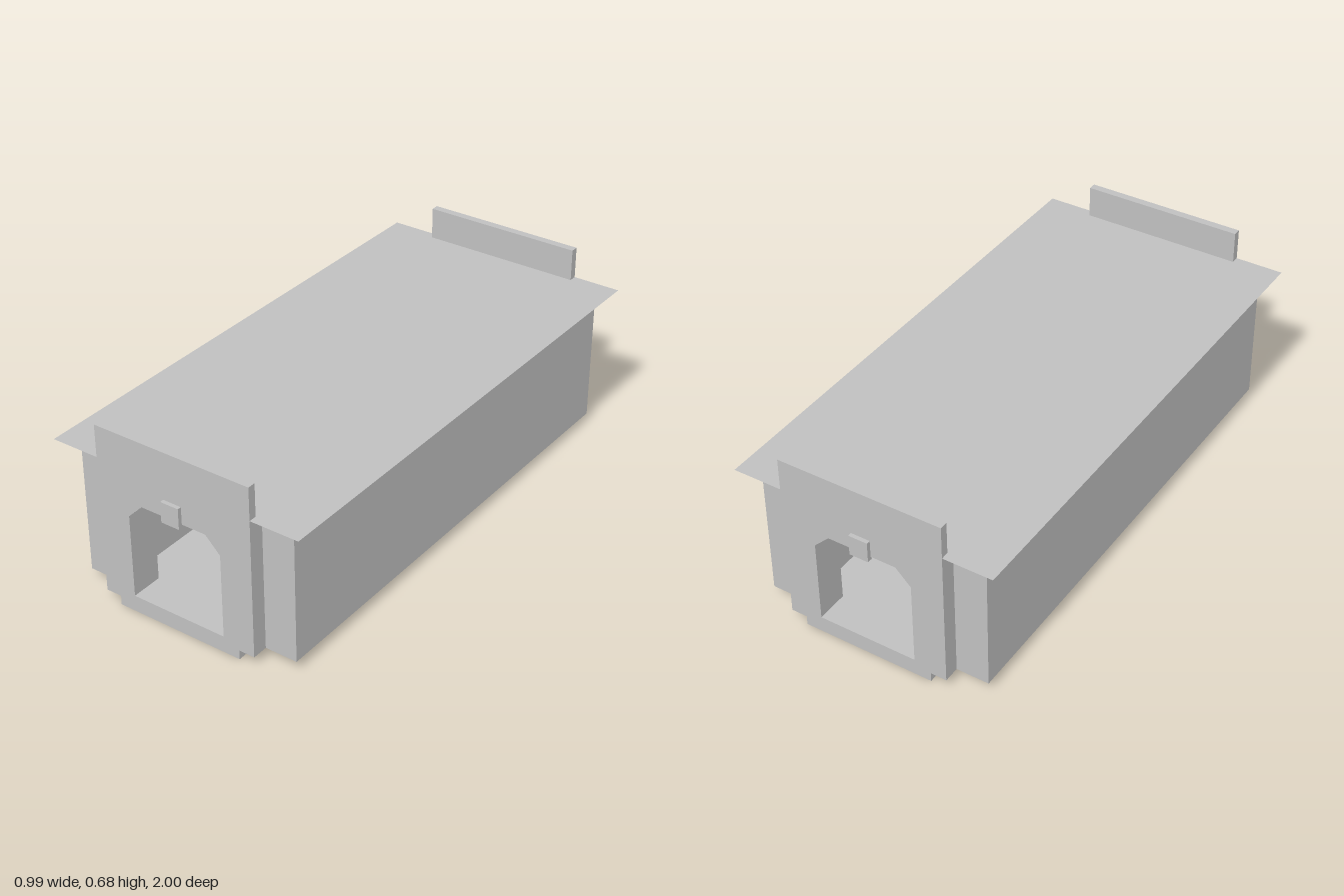
import * as THREE from 'three';

const grey = new THREE.MeshStandardMaterial({ color: 0xc0c0c0 });
grey.name = 'plain grey';
const greyOpen = new THREE.MeshStandardMaterial({ color: 0xc0c0c0, side: THREE.DoubleSide });
greyOpen.name = 'plain grey sheet';

function add(parent, name, geometry, x = 0, y = 0, z = 0, material = grey) {
  const mesh = new THREE.Mesh(geometry, material);
  mesh.name = name;
  mesh.position.set(x, y, z);
  parent.add(mesh);
  return mesh;
}

// box given by its lower and upper corners
function block(parent, name, x0, x1, y0, y1, z0, z1) {
  return add(parent, name, new THREE.BoxGeometry(x1 - x0, y1 - y0, z1 - z0),
    (x0 + x1) / 2, (y0 + y1) / 2, (z0 + z1) / 2);
}

const vectors = (points) => points.map(([x, y]) => new THREE.Vector2(x, y));

// outline with one hole, extruded from z0 to z1
function extrude(outline, hole, z0, z1) {
  const shape = new THREE.Shape(vectors(outline));
  if (hole) shape.holes.push(new THREE.Path(vectors(hole)));
  const g = new THREE.ExtrudeGeometry(shape, { depth: z1 - z0, bevelEnabled: false });
  return g.translate(0, 0, z0);
}

const rect = (w, y0, y1) => [[-w, y0], [w, y0], [w, y1], [-w, y1]];
const doorway = [[-0.187, 0.0625], [0.187, 0.0625], [0.187, 0.38], [0.13, 0.437],
  [-0.13, 0.437], [-0.187, 0.38]];
const room = rect(0.275, 0.0625, 0.5);

export function createModel() {
  const model = new THREE.Group();
  model.name = 'passageHall';

  // long hollow body
  add(model, 'body', extrude(rect(0.433, 0.035, 0.558), room, -0.865, 0.865));

  // thin overhanging roof sheet
  add(model, 'roof', new THREE.PlaneGeometry(0.99, 1.97).rotateX(-Math.PI / 2), 0, 0.56, 0, greyOpen);

  // stepped base, narrower at both ends
  const base = [[-0.375, -0.865], [-0.25, -0.865], [-0.25, -0.985], [0.25, -0.985], [0.25, -0.865],
    [0.375, -0.865], [0.375, 0.865], [0.25, 0.865], [0.25, 0.985], [-0.25, 0.985], [-0.25, 0.865],
    [-0.375, 0.865]];
  add(model, 'base', extrude(base, null, 0, 0.035).rotateX(-Math.PI / 2));

  // identical portal at each end
  for (const turn of [0, Math.PI]) {
    const portal = new THREE.Group();
    portal.name = turn ? 'backPortal' : 'frontPortal';
    portal.rotation.y = turn;
    add(portal, 'endWall', extrude(rect(0.433, 0.035, 0.558), doorway, 0.865, 0.925));
    add(portal, 'doorFrame', extrude(rect(0.31, 0.035, 0.558), doorway, 0.925, 0.985));
    block(portal, 'parapet', -0.31, 0.31, 0.558, 0.682, 0.955, 0.985);
    block(portal, 'keystone', -0.036, 0.036, 0.425, 0.503, 0.98, 1.0);
    model.add(portal);
  }

  // pedestal with a skewed slab lying on it
  block(model, 'pedestal', -0.08, 0.08, 0.0625, 0.175, -0.08, 0.08);
  const slab = add(model, 'slab', new THREE.BoxGeometry(0.17, 0.022, 0.17), -0.045, 0.182, 0);
  slab.rotation.set(0, 0.48, 0.06);

  return model;
}
